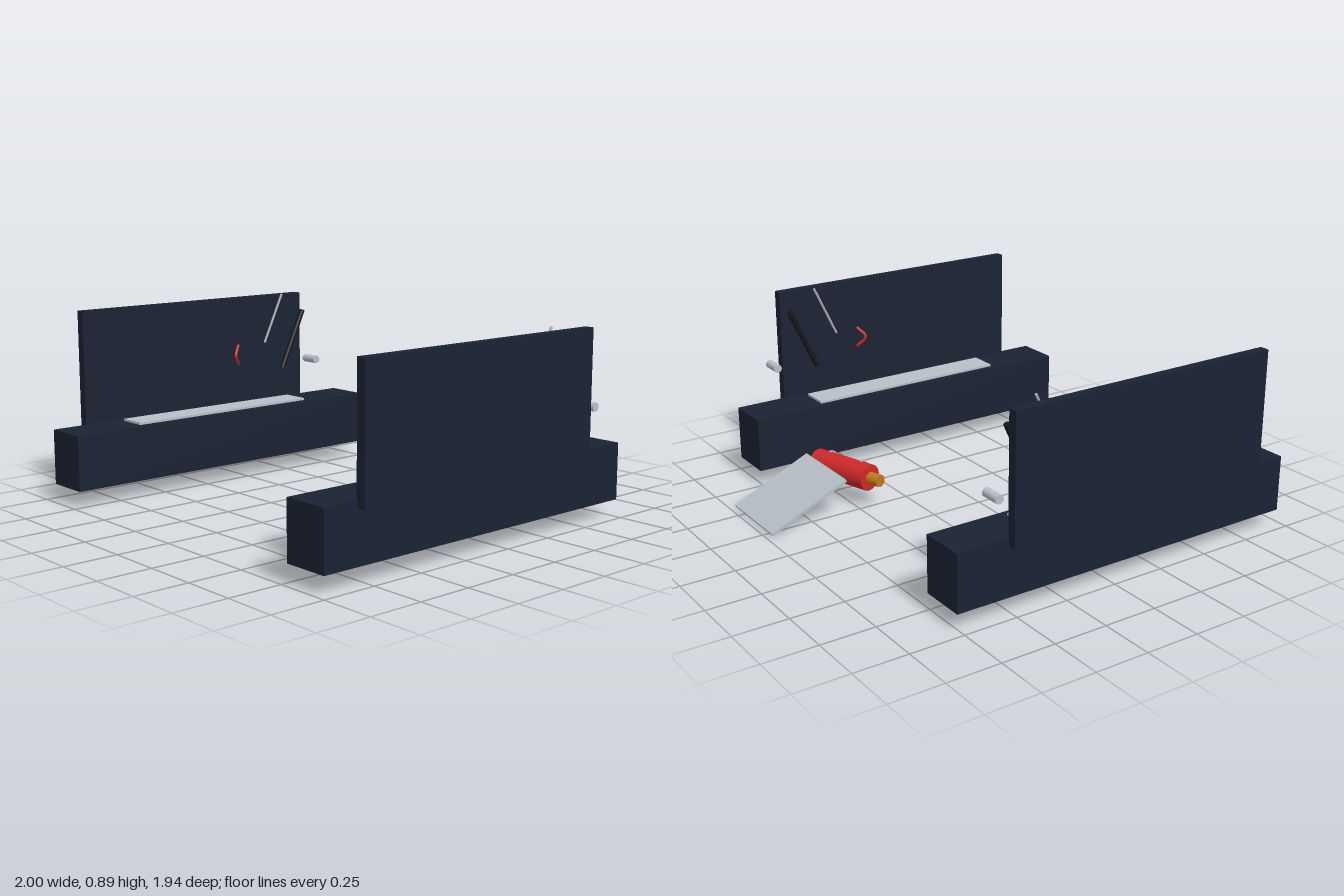
import * as THREE from 'three';

const paint = (color) => new THREE.MeshStandardMaterial({ color });
const navy = paint(0x1a2233), silver = paint(0xb8c0c8), black = paint(0x15171c);
const red = paint(0xd02828), brass = paint(0xc07a1c), steel = paint(0xa9adb2);

function add(parent, name, geometry, material, x = 0, y = 0, z = 0) {
  const mesh = new THREE.Mesh(geometry, material);
  mesh.name = name;
  mesh.position.set(x, y, z);
  parent.add(mesh);
  return mesh;
}

// Round bar between two points
function bar(parent, name, a, b, radius, material) {
  const from = new THREE.Vector3(...a), to = new THREE.Vector3(...b);
  const dir = to.clone().sub(from);
  const mesh = add(parent, name, new THREE.CylinderGeometry(radius, radius, dir.length(), 20), material);
  mesh.position.copy(from).add(to).multiplyScalar(0.5);
  mesh.quaternion.setFromUnitVectors(new THREE.Vector3(0, 1, 0), dir.normalize());
  return mesh;
}

// Side sill with door panel and its fittings; s is +1 or -1
function doorSide(s) {
  const side = new THREE.Group();
  side.name = s > 0 ? 'leftSide' : 'rightSide';
  add(side, 'sill', new THREE.BoxGeometry(0.215, 0.26, 1.73), navy, s * 0.857, 0.215, 0.105);
  add(side, 'doorPanel', new THREE.BoxGeometry(0.044, 0.575, 1.315), navy, s * 0.978, 0.598, 0.143);
  add(side, 'treadPlate', new THREE.BoxGeometry(0.138, 0.012, 1.01), silver, s * 0.856, 0.35, 0.105);
  bar(side, 'grip', [s * 0.905, 0.8, -0.49], [s * 0.905, 0.505, -0.352], 0.014, black);
  bar(side, 'rod', [s * 0.905, 0.892, -0.352], [s * 0.905, 0.65, -0.238], 0.006, steel);
  bar(side, 'hinge', [s * 0.888, 0.53, -0.573], [s * 0.979, 0.53, -0.573], 0.02, silver);
  // Bent pull strap
  const path = new THREE.CatmullRomCurve3([
    new THREE.Vector3(s * 0.947, 0.645, -0.1),
    new THREE.Vector3(s * 0.921, 0.595, -0.064),
    new THREE.Vector3(s * 0.947, 0.545, -0.1),
  ]);
  add(side, 'pullStrap', new THREE.TubeGeometry(path, 20, 0.007, 8), red);
  return side;
}

// Bottle lying along its local x axis
function extinguisher() {
  const group = new THREE.Group();
  group.name = 'extinguisher';
  bar(group, 'bottle', [-0.165, 0, 0], [0.165, 0, 0], 0.063, red);
  bar(group, 'nozzle', [-0.23, 0, 0], [-0.16, 0, 0], 0.029, brass);
  bar(group, 'gauge', [-0.19, 0, 0.02], [-0.19, 0, 0.04], 0.016, steel);
  // Half-ring straps over the front of the bottle
  for (const x of [-0.1, 0.093]) {
    const strap = add(group, 'strap', new THREE.TorusGeometry(0.065, 0.006, 10, 24, Math.PI), steel, x, 0, 0);
    strap.rotation.set(0, Math.PI / 2, -Math.PI / 2, 'ZYX');
    strap.quaternion.setFromRotationMatrix(new THREE.Matrix4().makeBasis(
      new THREE.Vector3(0, 1, 0), new THREE.Vector3(0, 0, 1), new THREE.Vector3(1, 0, 0)));
  }
  group.position.set(0.419, 0.145, -0.487);
  group.rotation.y = THREE.MathUtils.degToRad(18.5);
  return group;
}

export function createModel() {
  const model = new THREE.Group();
  model.name = 'cabinFittings';
  model.add(doorSide(1), doorSide(-1), extinguisher());
  // Sloping plate behind the bottle
  const plate = add(model, 'slopingPlate', new THREE.BoxGeometry(0.383, 0.013, 0.42), silver, 0.404, 0.1, -0.778);
  plate.rotation.x = -0.42;
  return model;
}
